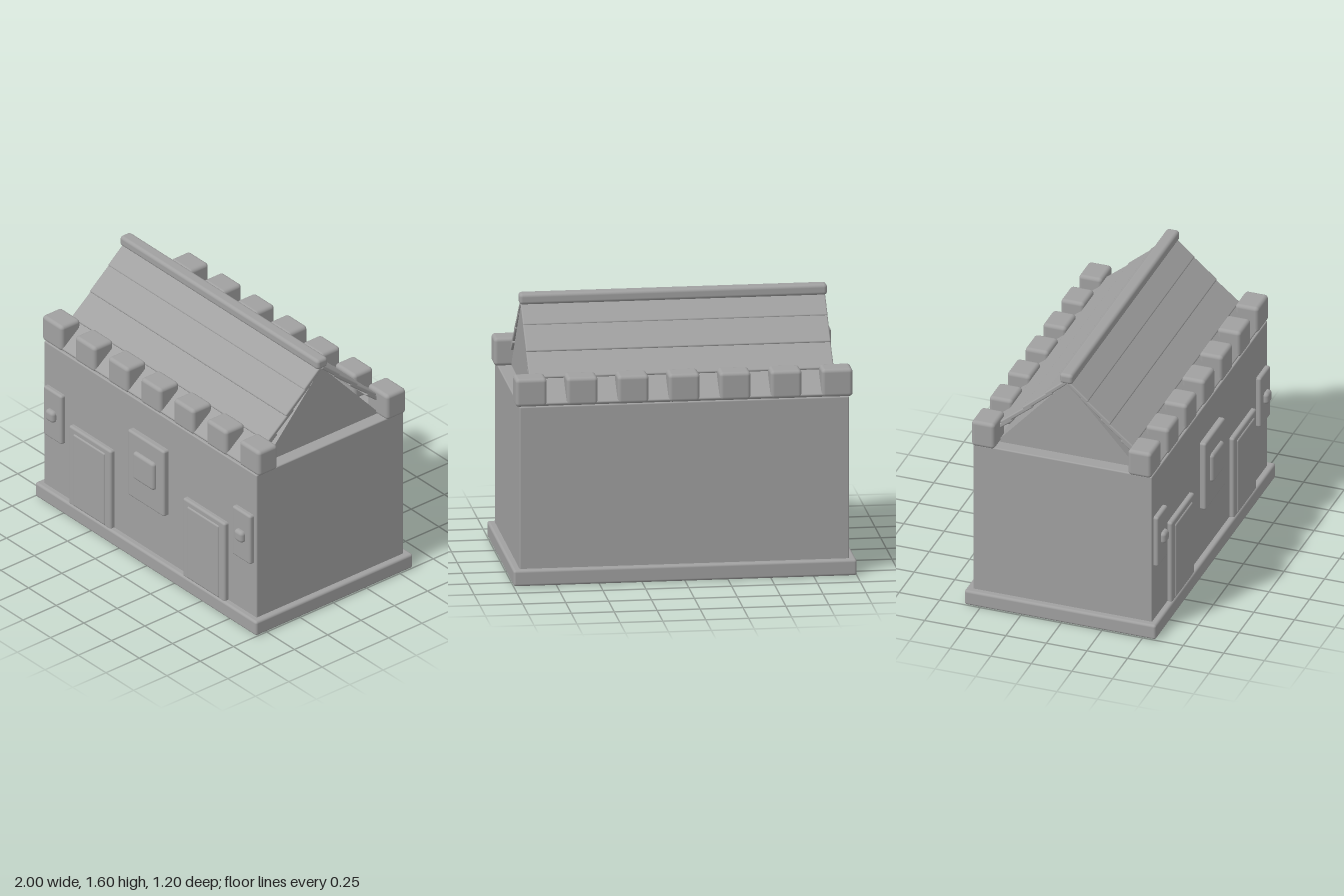
import * as THREE from 'three';
import { RoundedBoxGeometry } from 'three/addons/geometries/RoundedBoxGeometry.js';

export function createModel() {
  const model = new THREE.Group();
  model.name = 'fortHouse';
  const stone = new THREE.MeshStandardMaterial({ color: 0xa0a0a0 });
  stone.name = 'grey stone';

  // Soft-edged block given by its min and max along each axis
  function block(name, [x0, x1], [y0, y1], [z0, z1], radius, parent = model) {
    const geometry = new RoundedBoxGeometry(x1 - x0, y1 - y0, z1 - z0, 3, radius);
    const mesh = new THREE.Mesh(geometry, stone);
    mesh.name = name;
    mesh.position.set((x0 + x1) / 2, (y0 + y1) / 2, (z0 + z1) / 2);
    parent.add(mesh);
    return mesh;
  }

  // Base slab and walls
  block('base', [-1, 1], [0, 0.095], [-0.6, 0.58], 0.015);
  block('walls', [-0.96, 0.96], [0.08, 1.06], [-0.56, 0.543], 0.008);

  // Battlements along the front and back walls
  const battlements = new THREE.Group();
  battlements.name = 'battlements';
  model.add(battlements);
  for (const z of [0.472, -0.492]) {
    for (let i = -3; i <= 3; i++) {
      const x = i * 0.297;
      block('merlon', [x - 0.091, x + 0.091], [1.058, 1.225], [z - 0.072, z + 0.072], 0.022, battlements);
    }
  }

  // Roof, built around its own ridge line
  const roof = new THREE.Group();
  roof.name = 'roof';
  roof.position.z = -0.011;
  model.add(roof);

  // Solid gable core
  const triangle = new THREE.Shape();
  triangle.moveTo(-0.44, 1.05);
  triangle.lineTo(0.44, 1.05);
  triangle.lineTo(0, 1.54);
  triangle.closePath();
  const coreGeometry = new THREE.ExtrudeGeometry(triangle, { depth: 1.76, bevelEnabled: false });
  coreGeometry.translate(0, 0, -0.88).rotateY(Math.PI / 2);
  const core = new THREE.Mesh(coreGeometry, stone);
  core.name = 'gable';
  roof.add(core);

  // Overlapping planks: each top edge is tucked under the plank above
  for (const side of [1, -1]) {
    for (let k = 0; k < 4; k++) {
      const top = k === 0 ? [0.005, 1.54] : [0.09 + 0.125 * (k - 1), 1.459 - 0.117 * (k - 1)];
      const low = [0.128 + 0.138 * k, 1.434 - 0.123 * k];
      const dz = low[0] - top[0], dy = low[1] - top[1];
      const plank = new THREE.Mesh(
        new RoundedBoxGeometry(1.775, 0.026, Math.hypot(dz, dy), 2, 0.008), stone);
      plank.name = 'roofPlank';
      plank.position.set(-0.002, (top[1] + low[1]) / 2, side * (top[0] + low[0]) / 2);
      plank.rotation.x = side * Math.atan2(-dy, dz);
      roof.add(plank);
    }
  }
  block('ridge', [-0.9, 0.893], [1.535, 1.6], [-0.04, 0.04], 0.02, roof);

  // Doors and wall lamps, mirrored about the middle
  for (const s of [-1, 1]) {
    const span = (centre, width) => [s * centre - width / 2, s * centre + width / 2];
    block('doorFrame', span(0.515, 0.38), [0.085, 0.62], [0.52, 0.572], 0.014);
    block('doorPanel', span(0.515, 0.285), [0.1, 0.585], [0.53, 0.58], 0.01);
    block('lampPlate', span(0.853, 0.165), [0.45, 0.78], [0.52, 0.572], 0.014);
    block('lampKnob', span(0.853, 0.075), [0.58, 0.655], [0.53, 0.6], 0.022);
  }

  // Middle window
  block('windowFrame', [-0.165, 0.165], [0.41, 0.855], [0.52, 0.58], 0.014);
  block('windowPane', [-0.095, 0.095], [0.56, 0.745], [0.53, 0.602], 0.02);

  return model;
}
